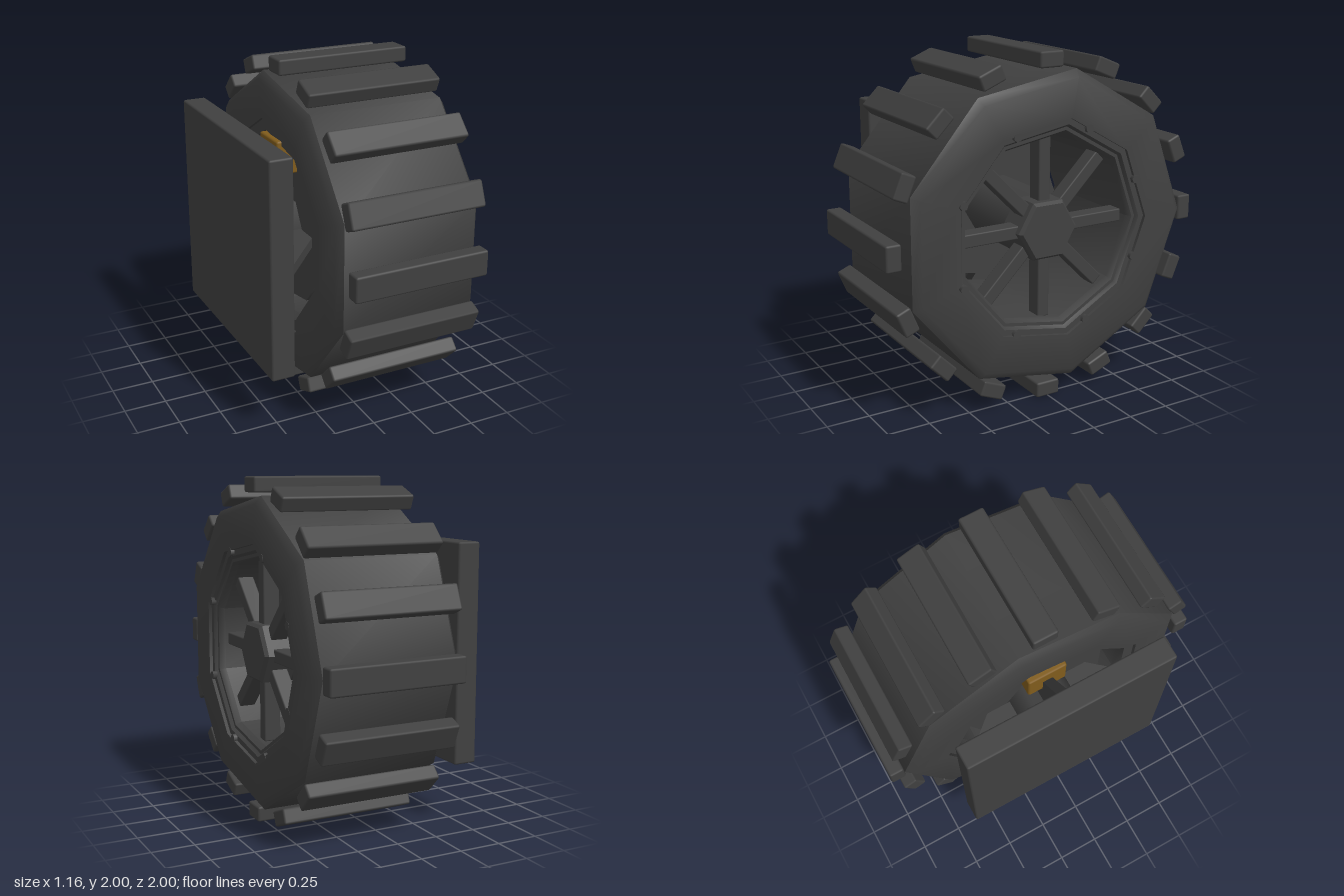
import * as THREE from 'three';
import { toCreasedNormals } from 'three/addons/utils/BufferGeometryUtils.js';
import { RoundedBoxGeometry } from 'three/addons/geometries/RoundedBoxGeometry.js';

export function createModel() {
  const dark = new THREE.MeshStandardMaterial({ color: 0x404040 });
  dark.name = 'dark rubber and metal';
  const gold = new THREE.MeshStandardMaterial({ color: 0x805c1c });
  gold.name = 'gold brake paint';

  const model = new THREE.Group();
  model.name = 'wheelAssembly';
  const wheel = new THREE.Group();
  wheel.name = 'wheel';
  wheel.position.y = 1;
  model.add(wheel);

  const add = (name, geometry, x = 0, y = 0, z = 0, material = dark, parent = wheel) => {
    const mesh = new THREE.Mesh(geometry, material);
    mesh.name = name;
    mesh.position.set(x, y, z);
    parent.add(mesh);
    return mesh;
  };

  // Revolves [radius, x] points about the axle, with one corner towards the back
  const revolve = (points, sides, crease = 0.75) => {
    const profile = points.map(([r, x]) => new THREE.Vector2(r, x));
    const g = new THREE.LatheGeometry(profile, sides, Math.PI);
    g.rotateZ(-Math.PI / 2);
    return toCreasedNormals(g, crease);
  };
  const rod = (radius, length, sides) =>
    new THREE.CylinderGeometry(radius, radius, length, sides).rotateZ(-Math.PI / 2);

  // Places a copy at an angle around the axle; local y points outwards
  const radial = (name, geometry, angle, x, radius) => {
    const mesh = add(name, geometry, x, Math.cos(angle) * radius, Math.sin(angle) * radius);
    mesh.rotation.x = angle;
    return mesh;
  };

  // Nine-sided tyre with chamfered shoulders
  add('tyre', revolve([
    [0.64, -0.295], [0.865, -0.295], [0.91, -0.26], [0.91, 0.54],
    [0.865, 0.575], [0.64, 0.575], [0.64, -0.295],
  ], 9));

  // Rim with a recessed lip on both sides
  add('rim', revolve([
    [0.57, -0.275], [0.645, -0.275], [0.645, 0.555], [0.605, 0.555],
    [0.59, 0.535], [0.57, 0.535], [0.55, 0.5], [0.55, -0.22], [0.57, -0.275],
  ], 9, 0.72));

  // Sixteen tread bars
  const bar = new RoundedBoxGeometry(0.81, 0.09, 0.15, 1, 0.012);
  for (let i = 0; i < 16; i++) radial('treadBar', bar, i * Math.PI / 8, 0.14, 0.955);

  // Spokes and rim bolts
  const spoke = new RoundedBoxGeometry(0.1, 0.38, 0.075, 1, 0.008);
  const rimBolt = rod(0.026, 0.03, 6);
  for (let i = 0; i < 8; i++) {
    const a = i * Math.PI / 4;
    radial('spoke', spoke, a, 0.43, 0.34);
    radial('rimBolt', rimBolt, a + Math.PI / 8, 0.562, 0.607);
  }

  // Hub, axle and brake
  add('hub', revolve([[0, 0.34], [0.19, 0.34], [0.19, 0.515], [0.172, 0.535], [0, 0.535]], 6, 0.3));
  add('axle', rod(0.19, 0.8, 6), -0.04);
  add('brakeDisc', revolve([[0, -0.18], [0.47, -0.18], [0.47, -0.12], [0, -0.12]], 9));
  add('brakeCaliper', new RoundedBoxGeometry(0.2, 0.2, 0.24, 1, 0.012), -0.205, 0.45, 0, gold);

  // Square mounting plate with bolts
  const mount = new THREE.Group();
  mount.name = 'mount';
  mount.position.y = 1;
  model.add(mount);
  add('mountPlate', new RoundedBoxGeometry(0.14, 1.28, 1.28, 1, 0.012), -0.512, 0, 0, dark, mount);
  const plateBolt = rod(0.03, 0.04, 6);
  for (const y of [-0.383, 0.383]) {
    for (const z of [-0.383, 0.383]) add('plateBolt', plateBolt, -0.427, y, z, dark, mount);
  }

  // Four triangular gussets between plate and axle
  const triangle = new THREE.Shape();
  triangle.moveTo(-0.45, 0.18);
  triangle.lineTo(-0.19, 0.18);
  triangle.lineTo(-0.19, 0.33);
  triangle.lineTo(-0.45, 0.63);
  triangle.closePath();
  const gusset = new THREE.ExtrudeGeometry(triangle, { depth: 0.06, bevelEnabled: false });
  gusset.translate(0, 0, -0.03);
  for (let i = 0; i < 4; i++) {
    add('gusset', gusset, 0, 0, 0, dark, mount).rotation.x = i * Math.PI / 2;
  }

  return model;
}
